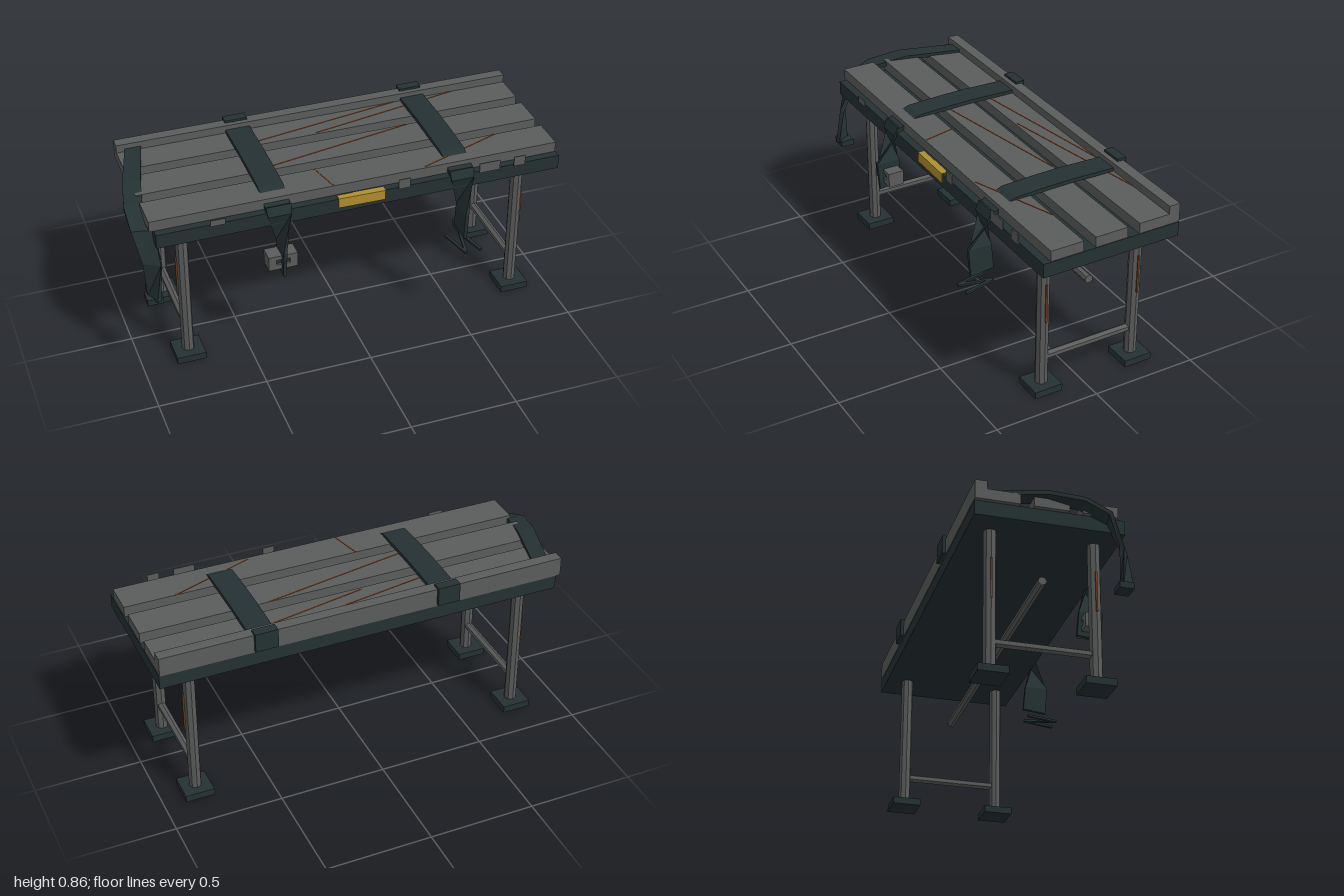
import * as THREE from 'three';

const mat = (name, color) => {
  const m = new THREE.MeshStandardMaterial({ color });
  m.name = name;
  m.flatShading = true;
  return m;
};

export function createModel() {
  const root = new THREE.Group();
  root.name = 'restraintTable';
  const grey = mat('worn steel grey', 0x5b5c5c);
  const dark = mat('dark slate', 0x243132);
  const rust = mat('rust orange', 0x7d4222);
  const yellow = mat('label yellow', 0xb08f2c);

  const add = (name, geo, material, parent = root) => {
    const mesh = new THREE.Mesh(geo, material);
    mesh.name = name;
    parent.add(mesh);
    return mesh;
  };

  // Box given by its extents on each axis
  const box = (name, x0, x1, y0, y1, z0, z1, material, parent) => {
    const m = add(name, new THREE.BoxGeometry(x1 - x0, y1 - y0, z1 - z0), material, parent);
    m.position.set((x0 + x1) / 2, (y0 + y1) / 2, (z0 + z1) / 2);
    return m;
  };

  // Straight bar between two points
  const bar = (name, a, b, r, sides, material) => {
    const p = new THREE.Vector3(...a), q = new THREE.Vector3(...b);
    const m = add(name, new THREE.CylinderGeometry(r, r, p.distanceTo(q), sides), material);
    m.position.copy(p).add(q).multiplyScalar(0.5);
    m.quaternion.setFromUnitVectors(new THREE.Vector3(0, 1, 0), q.sub(p).normalize());
    return m;
  };

  // Thin flat strip lying level between two (x, z) points
  const strip = (name, x0, z0, x1, z1, y, width, thick, material) => {
    const m = add(name, new THREE.BoxGeometry(Math.hypot(x1 - x0, z1 - z0), thick, width), material);
    m.position.set((x0 + x1) / 2, y, (z0 + z1) / 2);
    m.rotation.y = -Math.atan2(z1 - z0, x1 - x0);
    return m;
  };

  // Strap: stations of centre point and half-width vector, swept with a thickness
  const strap = (name, stations, thick, parent) => {
    const c = stations.map(s => new THREE.Vector3(...s[0]));
    const rings = stations.map(([, half], i) => {
      const w = new THREE.Vector3(...half);
      const t = c[Math.min(i + 1, c.length - 1)].clone().sub(c[Math.max(i - 1, 0)]);
      const n = t.cross(w).normalize().multiplyScalar(thick / 2);
      return [[1, 1], [-1, 1], [-1, -1], [1, -1]].map(([u, v]) =>
        c[i].clone().addScaledVector(w, u).addScaledVector(n, v));
    });
    const pos = [];
    const quad = (...q) => [0, 1, 2, 0, 2, 3].forEach(k => pos.push(...q[k].toArray()));
    for (let j = 0; j < rings.length - 1; j++) {
      for (let i = 0; i < 4; i++) {
        const k = (i + 1) % 4;
        quad(rings[j][i], rings[j][k], rings[j + 1][k], rings[j + 1][i]);
      }
    }
    quad(...rings[0].slice().reverse());
    quad(...rings[rings.length - 1]);
    const geo = new THREE.BufferGeometry();
    geo.setAttribute('position', new THREE.Float32BufferAttribute(pos, 3));
    geo.computeVertexNormals();
    return add(name, geo, dark, parent);
  };

  // Table top: base slab, three slats and a raised back rail
  box('baseSlab', -0.91, 0.993, 0.69, 0.758, -0.387, 0.283, dark);
  for (const z of [0.167, -0.05, -0.267]) {
    box('slat', -0.93, 0.99, 0.757, 0.808, z - 0.079, z + 0.079, grey);
  }
  box('backRail', -0.93, 0.99, 0.757, 0.846, -0.39, -0.337, grey);

  // Legs, feet, rust streaks and braces
  const legX = [-0.777, 0.833], legZ = [0.182, -0.284];
  for (const x of legX) {
    const out = Math.sign(x);
    for (const z of legZ) {
      bar('leg', [x, 0.03, z], [x, 0.7, z], 0.029, 8, grey);
      box('foot', x - 0.068, x + 0.068, 0.002, 0.035, z - 0.068, z + 0.068, dark);
      const streak = box('legRust', -0.004, 0.004, 0.36, 0.55, z - 0.004, z + 0.004, rust);
      streak.position.x = x + out * 0.03;
    }
    bar('sideBrace', [x, 0.165, legZ[0]], [x, 0.165, legZ[1]], 0.019, 6, grey);
  }
  bar('longBrace', [legX[0], 0.487, -0.05], [legX[1], 0.487, -0.05], 0.02, 7, grey);

  // Rust scratches across the slats
  const scratches = [
    [-0.3, -0.22, 0.457, -0.345], [-0.02, -0.2, 0.75, -0.345], [-0.3, 0, 0.4, -0.128],
    [-0.125, 0.089, -0.09, 0.24], [0.35, 0.235, 0.75, 0.089],
  ];
  for (const [x0, z0, x1, z1] of scratches) {
    strip('scratch', x0, z0, x1, z1, 0.808, 0.006, 0.004, rust);
  }

  // Two cross straps that run over the top and twist as they hang at the front
  for (const x of [-0.356, 0.511]) {
    const group = new THREE.Group();
    group.name = 'crossStrap';
    root.add(group);
    const across = [0.058, 0, 0];
    strap('strapOver', [
      [[x, 0.814, -0.36], across], [[x, 0.82, -0.12], across], [[x, 0.818, 0], across],
      [[x, 0.811, 0.16], across], [[x, 0.765, 0.275], across],
    ], 0.018, group);
    strap('strapHang', [
      [[x, 0.78, 0.27], across], [[x, 0.74, 0.288], [0.054, 0, 0]],
      [[x, 0.586, 0.307], [0, 0, 0.057]], [[x, 0.458, 0.296], [0, -0.006, 0.057]],
    ], 0.016, group);
    box('railClip', x - 0.053, x + 0.053, 0.767, 0.857, -0.405, -0.36, dark, group);
  }

  // End strap draped over the corner, with its buckle
  strap('endStrap', [
    [[-0.85, 0.812, -0.35], [0.038, 0, 0]],
    [[-0.925, 0.812, -0.07], [0.042, 0, 0]],
    [[-0.957, 0.785, 0.08], [0.042, 0, 0]],
    [[-0.948, 0.735, 0.2], [0.05, 0, 0.01]],
    [[-0.93, 0.6, 0.265], [0.036, 0, 0.02]],
    [[-0.935, 0.42, 0.275], [0.015, 0, 0.03]],
  ], 0.02);
  box('endBuckle', -0.97, -0.897, 0.4, 0.43, 0.23, 0.293, dark);

  // Square buckle on one cross strap: frame of four bars with a dark slot
  box('buckleTop', -0.425, -0.29, 0.535, 0.555, 0.26, 0.335, grey);
  box('buckleBottom', -0.425, -0.29, 0.485, 0.51, 0.26, 0.335, grey);
  box('buckleSide', -0.425, -0.39, 0.51, 0.535, 0.26, 0.335, grey);
  box('buckleSide', -0.325, -0.29, 0.51, 0.535, 0.26, 0.335, grey);
  box('buckleSlot', -0.39, -0.325, 0.51, 0.535, 0.27, 0.325, dark);

  // Bent wire tongue under the other strap
  const tongue = [[0.46, 0.25], [0.495, 0.405], [0.53, 0.25], [0.568, 0.405]];
  for (let i = 0; i < 3; i++) {
    strip('buckleTongue', ...tongue[i], ...tongue[i + 1], 0.411, 0.014, 0.01, dark);
  }

  // Label and small tabs along the front edge
  const label = box('label', -0.08, 0.14, 0.713, 0.761, 0.257, 0.288, yellow);
  label.rotation.z = -0.015;
  for (const [x, w] of [[-0.637, 0.068], [0.227, 0.055], [0.64, 0.1], [0.787, 0.055]]) {
    box('frontTab', x - w / 2, x + w / 2, 0.758, x < 0 ? 0.788 : 0.806, 0.293, 0.298, grey);
  }

  return root;
}
